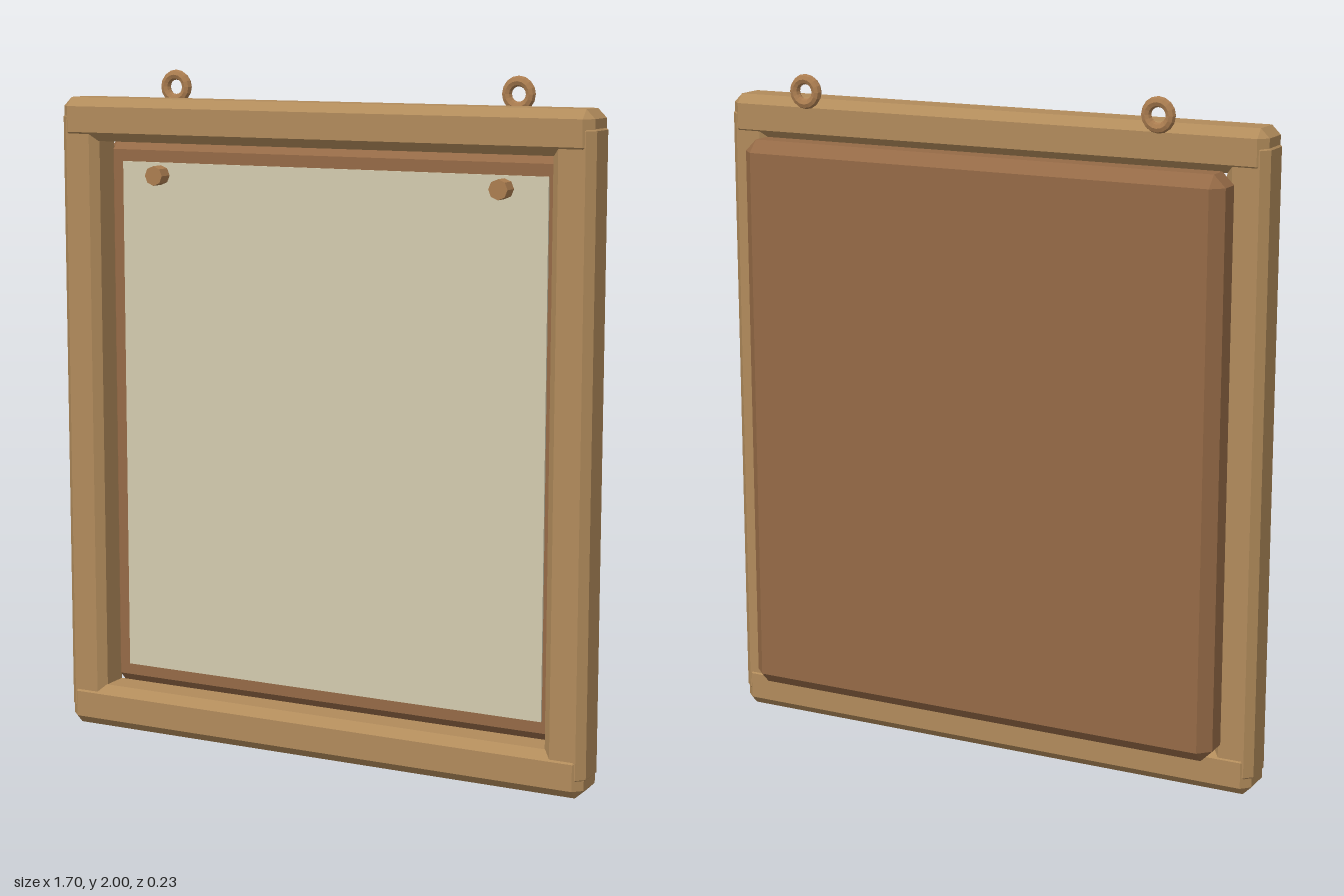
import * as THREE from 'three';
import { ConvexGeometry } from 'three/addons/geometries/ConvexGeometry.js';

const makeMaterial = (name, color) => {
  const m = new THREE.MeshStandardMaterial({ color });
  m.name = name;
  return m;
};

// Box between two corners with every edge cut back by c
function chamferBox(min, max, c) {
  const half = [0, 1, 2].map(i => (max[i] - min[i]) / 2);
  const points = [];
  for (const sx of [-1, 1]) for (const sy of [-1, 1]) for (const sz of [-1, 1]) {
    for (let full = 0; full < 3; full++) {
      const p = [sx, sy, sz].map((s, i) => s * (half[i] - (i === full ? 0 : c)));
      points.push(new THREE.Vector3(...p));
    }
  }
  const g = new ConvexGeometry(points);
  g.translate(...[0, 1, 2].map(i => (min[i] + max[i]) / 2));
  return g;
}

export function createModel() {
  const model = new THREE.Group();
  model.name = 'hangingFrame';
  const frameWood = makeMaterial('frame wood', 0xb18b5b);
  const backWood = makeMaterial('back wood', 0x956a46);
  const paper = makeMaterial('paper', 0xd3cbaf);
  const fitting = makeMaterial('fitting', 0xab7d50);
  fitting.flatShading = true;

  const add = (name, geometry, material) => {
    const mesh = new THREE.Mesh(geometry, material);
    mesh.name = name;
    model.add(mesh);
    return mesh;
  };

  // Horizontal rails
  add('topRail', chamferBox([-0.845, 1.792, -0.021], [0.845, 1.92, 0.115], 0.026), frameWood);
  add('bottomRail', chamferBox([-0.845, 0, -0.021], [0.845, 0.13, 0.115], 0.026), frameWood);

  // Backing panel and the sheet on its face
  add('backPanel', chamferBox([-0.756, 0.115, -0.116], [0.756, 1.8, 0.015], 0.035), backWood);
  add('sheet', new THREE.BoxGeometry(1.37, 1.545, 0.008).translate(0, 0.9575, 0.017), paper);

  // Stiles, pins and hanging rings on both sides
  for (const [side, s] of [['left', 1], ['right', -1]]) {
    const x0 = s > 0 ? 0.725 : -0.85;
    add(side + 'Stile', chamferBox([x0, 0.035, -0.017], [x0 + 0.125, 1.885, 0.11], 0.023), frameWood);

    const pin = add(side + 'Pin', new THREE.CylinderGeometry(0.029, 0.029, 0.045, 8), fitting);
    pin.rotation.x = Math.PI / 2;
    pin.position.set(s * 0.553, 1.693, 0.0435);

    const ring = add(side + 'Ring', new THREE.TorusGeometry(0.036, 0.015, 8, 16), fitting);
    ring.position.set(s * 0.553, 1.949, -0.072);
  }

  return model;
}
